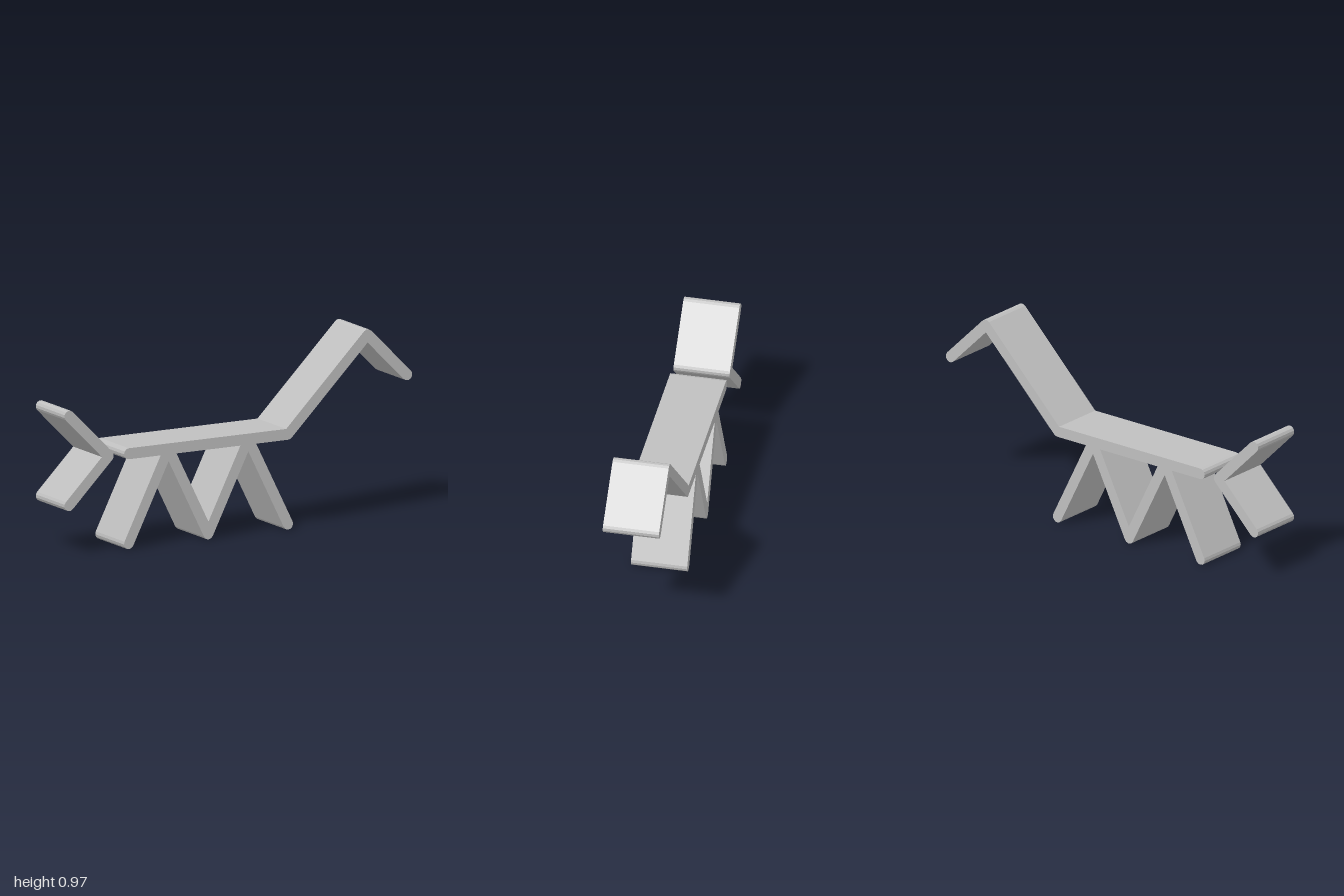
import * as THREE from 'three';

const R = 0.028;      // half the plank thickness
const DEPTH = 0.285;  // plank width along z
const STEPS = 6;      // facets per half-round end

// Outline of a thick folded strip: walk down one side of the path and back up the other.
function stripShape(path) {
  const loop = [...path, ...path.slice(1, -1).reverse()].map(([x, y]) => new THREE.Vector2(x, y));
  const n = loop.length;
  const out = [];
  for (let i = 0; i < n; i++) {
    const p = loop[i];
    const d0 = p.clone().sub(loop[(i + n - 1) % n]).normalize();
    const d1 = loop[(i + 1) % n].clone().sub(p).normalize();
    const isEnd = d0.dot(d1) < -0.999;
    const turn = isEnd ? Math.PI : Math.atan2(d0.cross(d1), d0.dot(d1));
    const start = Math.atan2(-d0.x, d0.y); // normal on the right-hand side
    if (turn > 0) {
      // Rounded outer corner or end
      const k = Math.max(2, Math.ceil(STEPS * turn / Math.PI));
      for (let j = 0; j <= k; j++) {
        const a = start + turn * j / k;
        out.push(new THREE.Vector2(p.x + R * Math.cos(a), p.y + R * Math.sin(a)));
      }
    } else {
      // Sharp inner corner
      const a = start + turn / 2, m = R / Math.cos(turn / 2);
      out.push(new THREE.Vector2(p.x + m * Math.cos(a), p.y + m * Math.sin(a)));
    }
  }
  return new THREE.Shape(out);
}

export function createModel() {
  const group = new THREE.Group();
  const grey = new THREE.MeshStandardMaterial({ color: 0xbfbfbf, flatShading: true });

  const strips = {
    // Long back, rising neck and drooping head
    bodyNeckAndHead: [[-0.63, 0.487], [0.285, 0.487], [0.741, 0.943], [0.97, 0.715]],
    // Zigzag of four legs
    legs: [[-0.63, 0.03], [-0.402, 0.487], [-0.173, 0.03], [0.056, 0.487], [0.285, 0.03]],
    // Separate chevron behind the body
    tail: [[-0.972, 0.715], [-0.745, 0.487], [-0.972, 0.26]],
  };

  for (const [name, path] of Object.entries(strips)) {
    const geometry = new THREE.ExtrudeGeometry(stripShape(path), { depth: DEPTH, bevelEnabled: false });
    geometry.translate(0, 0, -DEPTH / 2);
    const mesh = new THREE.Mesh(geometry, grey);
    mesh.name = name;
    group.add(mesh);
  }
  return group;
}
